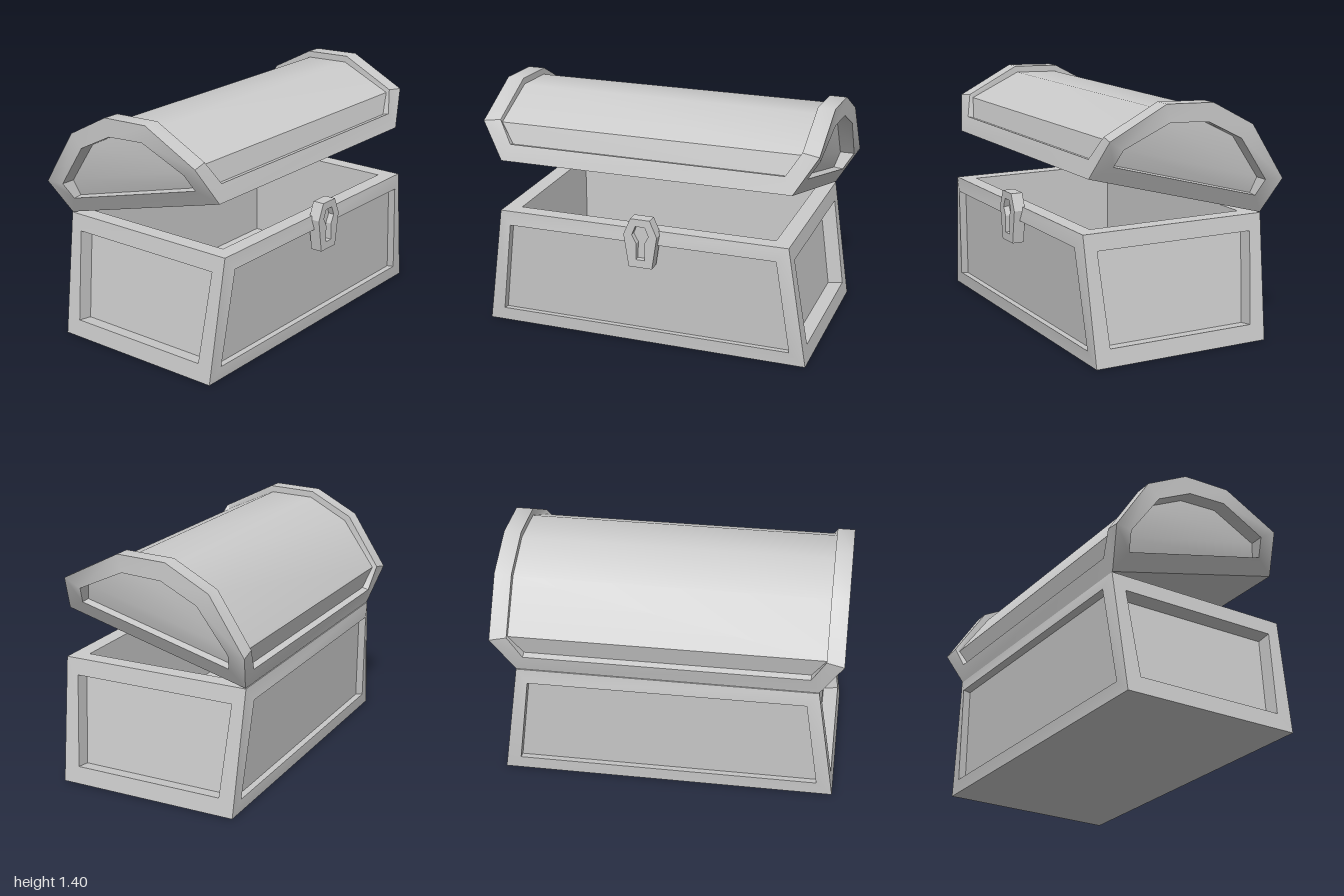
import * as THREE from 'three';
import { toCreasedNormals } from 'three/addons/utils/BufferGeometryUtils.js';

const CREASE = 0.6;

function meshFromTriangles(name, tris) {
  const geo = new THREE.BufferGeometry();
  geo.setAttribute('position', new THREE.Float32BufferAttribute(tris.flat(2), 3));
  const mesh = new THREE.Mesh(toCreasedNormals(geo, CREASE), new THREE.MeshStandardMaterial({ color: 0xcccccc }));
  mesh.name = name;
  return mesh;
}

const quad = (a, b, c, d) => [[a, b, c], [a, c, d]];

// Frame (outer to inner loop), recess walls (inner to panel loop) and the panel itself
function framedPanel(name, outer, inner, panel) {
  const n = outer.length, tris = [];
  for (const [a, b] of [[outer, inner], [inner, panel]]) {
    for (let i = 0; i < n; i++) {
      const j = (i + 1) % n;
      tris.push(...quad(a[i], a[j], b[j], b[i]));
    }
  }
  for (let i = 0; i < n - 2 - i; i++) {
    const q = quad(panel[i], panel[i + 1], panel[n - 2 - i], panel[n - 1 - i]);
    if (n - 2 - i === i + 1) q.shift();
    tris.push(...q);
  }
  return meshFromTriangles(name, tris);
}

// Mirror a loop across an axis, keeping its winding outward
const mirror = (loop, axis) => loop.map(p => p.map((v, k) => (k === axis ? -v : v))).reverse();
const shift = (loop, dx, dy, dz) => loop.map(([x, y, z]) => [x + dx, y + dy, z + dz]);

// A framed panel and its twin on the opposite side
function mirroredPanels(group, names, axis, loops) {
  group.add(framedPanel(names[0], ...loops));
  group.add(framedPanel(names[1], ...loops.map(l => mirror(l, axis))));
}

function createBase() {
  const base = new THREE.Group();
  base.name = 'chestBase';
  const bx = 0.54, bz = 0.98, tx = 0.565, tz = 0.87, h = 0.72;

  // Short ends
  const endInner = [[-0.45, 0.1, 0.965], [0.45, 0.1, 0.965], [0.487, 0.625, 0.885], [-0.487, 0.625, 0.885]];
  mirroredPanels(base, ['frontEnd', 'backEnd'], 2, [
    [[-bx, 0, bz], [bx, 0, bz], [tx, h, tz], [-tx, h, tz]],
    endInner, shift(endInner, 0, -0.013, -0.09),
  ]);

  // Long sides
  const sideInner = [[0.547, 0.08, 0.885], [0.547, 0.08, -0.885], [0.583, 0.64, -0.805], [0.583, 0.64, 0.805]];
  mirroredPanels(base, ['leftSide', 'rightSide'], 0, [
    [[bx, 0, bz], [bx, 0, -bz], [tx, h, -tz], [tx, h, tz]],
    sideInner, shift(sideInner, -0.045, -0.007, 0),
  ]);

  // Rim and hollow interior
  const rect = (x, y, z) => [[-x, y, z], [x, y, z], [x, y, -z], [-x, y, -z]];
  base.add(framedPanel('rimAndInterior', rect(tx, h, tz), rect(0.475, h, 0.775), rect(0.475, 0.13, 0.775)));
  base.add(meshFromTriangles('baseBottom', quad(...rect(bx, 0, bz).reverse())));
  return base;
}

function createLid() {
  const lid = new THREE.Group();
  lid.name = 'lid';
  const w = 0.566;
  // Half profiles [x, y, z] from the lower edge up to the ridge
  const full = half => [...half, ...half.slice(0, -1).reverse().map(([x, y, z]) => [-x, y, z])];
  const outer = full([[w, 0, 0.87], [w, 0.221, 1], [0.283, 0.477, 1], [0, 0.542, 1]]);

  // Domed ends
  const endInner = full([[0.466, 0.092, 0.925], [0.466, 0.193, 0.985], [0.233, 0.387, 1], [0, 0.435, 1]]);
  const endPanel = full([[0.466, 0.097, 0.87], [0.466, 0.193, 0.9], [0.233, 0.387, 0.91], [0, 0.435, 0.91]]);
  mirroredPanels(lid, ['lidFrontEnd', 'lidBackEnd'], 2, [outer, endInner, endPanel]);

  // Barrel top, recessed inside a raised border
  const around = p => [...mirror(p, 2).reverse(), ...[...p].reverse()];
  const opening = full([[w, 0.1, 0.82], [0.552, 0.236, 0.9], [0.283, 0.477, 0.9], [0, 0.542, 0.9]]);
  const recess = full([[0.526, 0.1, 0.82], [0.526, 0.221, 0.9], [0.262, 0.442, 0.9], [0, 0.503, 0.9]]);
  lid.add(framedPanel('lidBarrel', around(outer), around(opening), around(recess)));

  // Flat underside
  lid.add(meshFromTriangles('lidUnderside',
    quad([-w, 0, -0.87], [w, 0, -0.87], [w, 0, 0.87], [-w, 0, 0.87])));

  // Swing open about the hinge edge
  lid.children.forEach(m => { m.position.x = w; });
  const hinge = new THREE.Group();
  hinge.name = 'lidHinge';
  hinge.add(lid);
  hinge.position.set(-0.562, 0.723, 0);
  hinge.rotation.z = THREE.MathUtils.degToRad(15);
  return hinge;
}

function createLatch() {
  const latch = new THREE.Group();
  latch.name = 'latch';
  const points = half => [...half, ...[...half].reverse().map(([x, y]) => [-x, y])]
    .map(([x, y]) => new THREE.Vector2(x, y));
  const outline = points([[0.07, 0.505], [0.1, 0.7], [0.058, 0.797]]);
  const keyhole = points([[0.026, 0.552], [0.023, 0.65], [0.05, 0.7], [0.028, 0.753]]);

  // Solid back plate, then a face plate cut by the keyhole
  const plate = (name, hole, x, depth) => {
    const shape = new THREE.Shape(outline);
    if (hole) shape.holes.push(new THREE.Path(hole));
    const geo = new THREE.ExtrudeGeometry(shape, { depth, bevelEnabled: false });
    const mesh = new THREE.Mesh(geo, new THREE.MeshStandardMaterial({ color: 0xcccccc }));
    mesh.name = name;
    mesh.rotation.y = Math.PI / 2;
    mesh.position.set(x, 0, -0.022);
    latch.add(mesh);
  };
  plate('latchBackPlate', null, 0.55, 0.035);
  plate('latchKeyholePlate', keyhole, 0.585, 0.035);
  return latch;
}

export function createModel() {
  const model = new THREE.Group();
  model.name = 'treasureChest';
  model.add(createBase(), createLid(), createLatch());
  return model;
}
